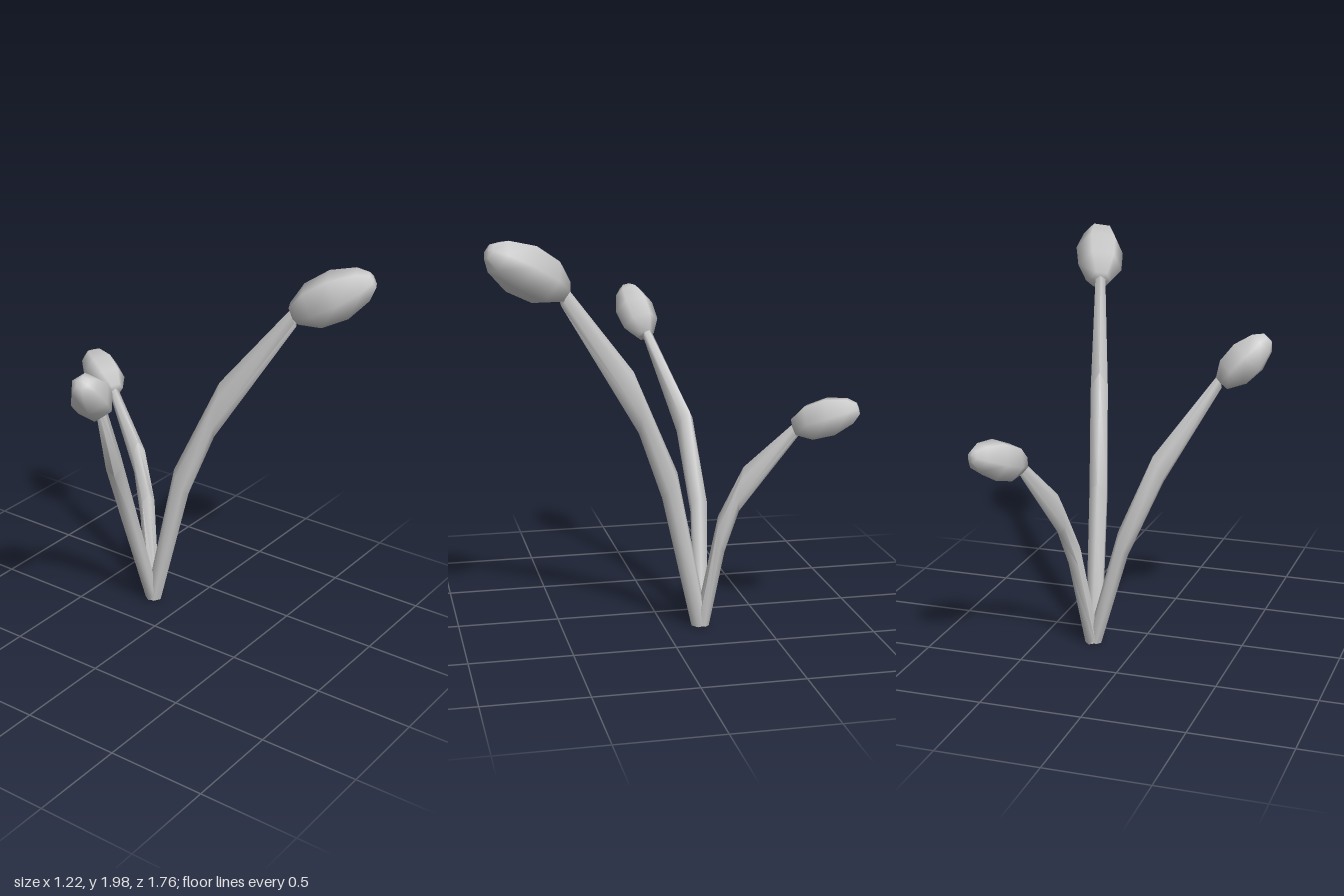
import * as THREE from 'three';
import { toCreasedNormals } from 'three/addons/utils/BufferGeometryUtils.js';

const SIDES = 6;
const material = new THREE.MeshStandardMaterial({ color: 0xcccccc });
const vec = (a) => new THREE.Vector3(...a);

// Tube through slanted rings: c = centre, u = half-width on the outer side, r = sideways radius
function stemGeometry(rings) {
  const positions = [];
  const index = [];
  const centres = rings.map((ring) => vec(ring.c));
  const last = rings.length - 1;
  const addRing = (i, scale) => {
    const tangent = centres[Math.min(i + 1, last)].clone().sub(centres[Math.max(i - 1, 0)]);
    const u = vec(rings[i].u);
    const v = tangent.cross(u).setLength(rings[i].r);
    for (let j = 0; j < SIDES; j++) {
      const a = (j / SIDES) * Math.PI * 2;
      const p = centres[i].clone()
        .addScaledVector(u, Math.cos(a) * scale)
        .addScaledVector(v, Math.sin(a) * scale);
      positions.push(p.x, p.y, p.z);
    }
  };
  addRing(0, 0); // closed foot
  rings.forEach((ring, i) => addRing(i, 1));
  addRing(last, 0); // closed tip
  for (let i = 0; i < rings.length + 1; i++) {
    for (let j = 0; j < SIDES; j++) {
      const a = i * SIDES + j;
      const b = i * SIDES + ((j + 1) % SIDES);
      if (i > 0) index.push(a, b, a + SIDES);
      if (i < rings.length) index.push(b, b + SIDES, a + SIDES);
    }
  }
  // The foot strip collapses to its outer triangles, the tip strip to its inner ones
  const geometry = new THREE.BufferGeometry();
  geometry.setAttribute('position', new THREE.Float32BufferAttribute(positions, 3));
  geometry.setIndex(index);
  return toCreasedNormals(geometry, 1.2);
}

// Faceted egg from a lathe profile, laid along the line from its neck to its tip
function makeBud(from, to, radius) {
  const start = vec(from);
  const axis = vec(to).sub(start);
  const length = axis.length();
  const profile = [[0, 0], [0.45, 0.01], [0.92, 0.25], [1, 0.58], [0.68, 0.88], [0.32, 1], [0, 1.01]]
    .map(([r, t]) => new THREE.Vector2(r * radius, t * length));
  const bud = new THREE.Mesh(new THREE.LatheGeometry(profile, SIDES), material);
  bud.position.copy(start);
  bud.quaternion.setFromUnitVectors(new THREE.Vector3(0, 1, 0), axis.normalize());
  return bud;
}

const flowers = [
  {
    name: 'tallFrontFlower',
    rings: [
      { c: [0.23, 0.015, -0.18], u: [0.005, -0.003, 0.043], r: 0.043 },
      { c: [0.255, 0.75, -0.02], u: [0.01, -0.06, 0.04], r: 0.05 },
      { c: [0.31, 1.18, 0.155], u: [0.0, -0.15, -0.012], r: 0.05 },
      { c: [0.425, 1.72, 0.515], u: [0.005, -0.045, 0.012], r: 0.03 },
    ],
    bud: [[0.425, 1.735, 0.51], [0.55, 1.945, 0.86], 0.125],
  },
  {
    name: 'sideFlower',
    rings: [
      { c: [0.225, 0.02, -0.185], u: [-0.036, -0.01, 0], r: 0.036 },
      { c: [0.06, 0.57, -0.213], u: [-0.025, -0.06, 0], r: 0.045 },
      { c: [-0.11, 0.96, -0.178], u: [-0.02, -0.07, 0.022], r: 0.045 },
      { c: [-0.375, 1.385, -0.04], u: [-0.01, -0.03, 0.005], r: 0.025 },
    ],
    bud: [[-0.385, 1.375, -0.035], [-0.59, 1.6, 0.03], 0.1],
  },
  {
    name: 'backFlower',
    rings: [
      { c: [0.235, 0.02, -0.19], u: [0.008, -0.01, -0.034], r: 0.036 },
      { c: [0.295, 0.5, -0.27], u: [0.005, -0.09, -0.016], r: 0.042 },
      { c: [0.34, 0.735, -0.356], u: [0, -0.11, 0.01], r: 0.042 },
      { c: [0.435, 1.045, -0.6], u: [0.004, -0.035, -0.006], r: 0.025 },
    ],
    bud: [[0.43, 1.055, -0.585], [0.56, 1.16, -0.86], 0.1],
  },
];

export function createModel() {
  const model = new THREE.Group();
  model.name = 'flowerSprig';
  for (const { name, rings, bud } of flowers) {
    const flower = new THREE.Group();
    flower.name = name;
    const stem = new THREE.Mesh(stemGeometry(rings), material);
    stem.name = 'stem';
    const head = makeBud(...bud);
    head.name = 'bud';
    flower.add(stem, head);
    model.add(flower);
  }
  return model;
}
